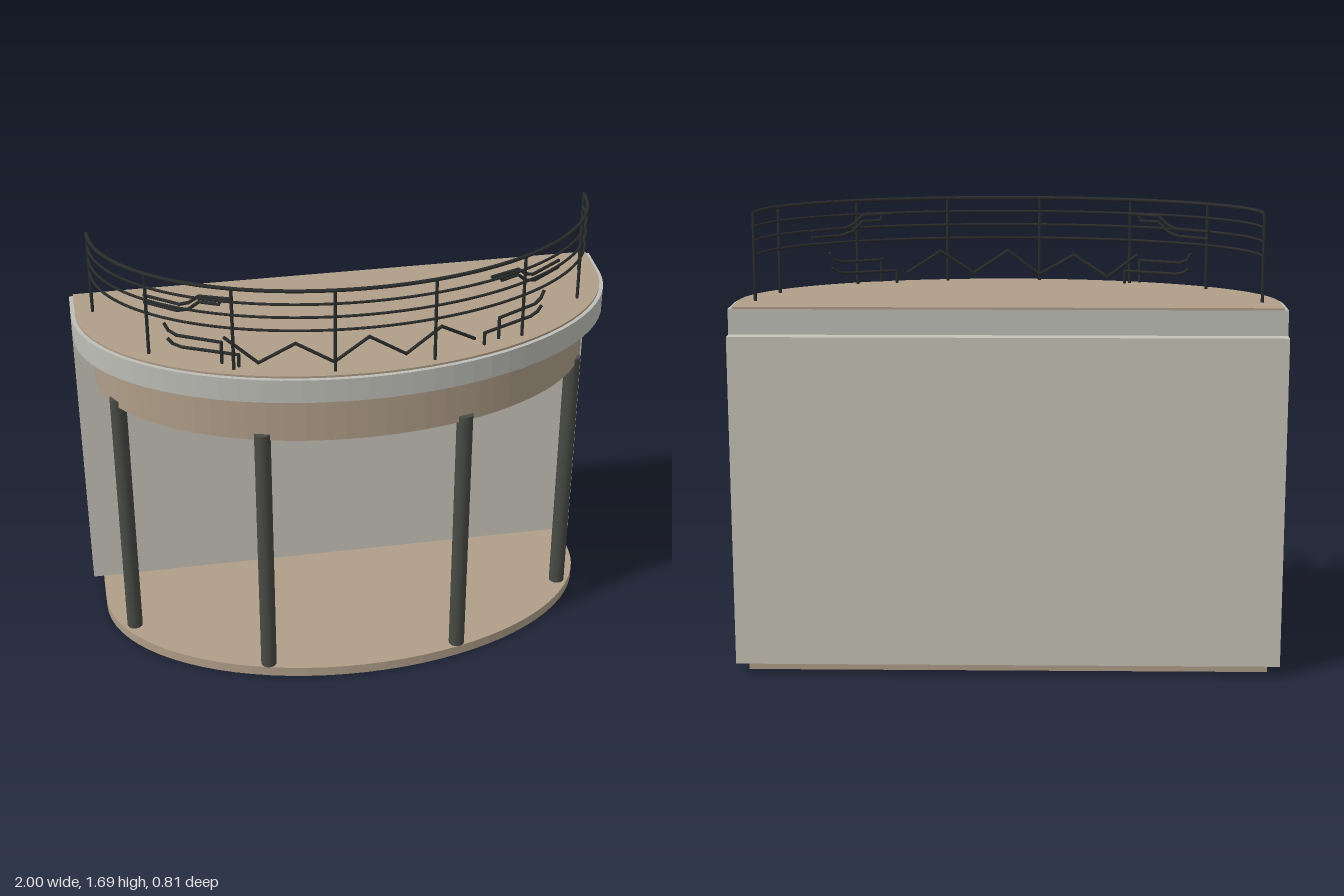
import * as THREE from 'three';

const mat = (name, color) => {
  const m = new THREE.MeshStandardMaterial({ color });
  m.name = name;
  return m;
};

export function createModel() {
  const model = new THREE.Group();
  model.name = 'balconyPorch';
  const stone = mat('beige stone', 0xb09e89);
  const trim = mat('pale grey trim', 0xbebeb8);
  const plaster = mat('plaster grey', 0xc6c3b8);
  const iron = mat('dark column grey', 0x484a45);
  const black = mat('railing black', 0x2a2c2c);

  const BACK = -0.35, MID = -0.2; // back edge and where the half ellipse begins
  const add = (parent, name, geo, material) => {
    const mesh = new THREE.Mesh(geo, material);
    mesh.name = name;
    parent.add(mesh);
    return mesh;
  };

  // D-shaped slab: straight back and sides, half-elliptical front
  function slab(name, rx, front, y0, y1, material) {
    const s = new THREE.Shape();
    s.moveTo(rx, -BACK);
    s.lineTo(-rx, -BACK);
    const n = 40;
    for (let i = 0; i <= n; i++) {
      const a = Math.PI + (Math.PI * i) / n;
      s.lineTo(rx * Math.cos(a), -MID + (front - MID) * Math.sin(a));
    }
    s.closePath();
    const g = new THREE.ExtrudeGeometry(s, { depth: y1 - y0, bevelEnabled: false });
    g.rotateX(-Math.PI / 2);
    g.translate(0, y0, 0);
    add(model, name, g, material);
  }
  slab('baseStep', 0.96, 0.385, 0, 0.04, stone);
  slab('curvedBeam', 0.93, 0.365, 1.075, 1.26, stone);
  slab('balconySlab', 1, 0.405, 1.26, 1.352, trim);
  slab('balconyFloor', 0.985, 0.39, 1.352, 1.36, stone);

  // Back wall
  add(model, 'backWall', new THREE.BoxGeometry(2, 1.22, 0.055), plaster)
    .position.set(0, 0.65, -0.3775);

  // Columns, mirrored left and right
  for (const side of [-1, 1]) {
    for (const [x, z] of [[0.86, -0.015], [0.37, 0.31]]) {
      add(model, 'column', new THREE.CylinderGeometry(0.03, 0.03, 1.06, 20), iron)
        .position.set(side * x, 0.57, z);
    }
  }

  // Railing follows a half ellipse
  const railing = new THREE.Group();
  railing.name = 'railing';
  model.add(railing);
  const RZ = -0.21;
  const railPoint = (a, y) =>
    new THREE.Vector3(-0.92 * Math.cos(a), y, RZ + 0.57 * Math.sin(a));

  for (const [y, r] of [[1.68, 0.007], [1.628, 0.005], [1.577, 0.005], [1.525, 0.005]]) {
    const pts = [];
    for (let i = 0; i <= 32; i++) pts.push(railPoint((Math.PI * i) / 32, y));
    add(railing, 'handrail',
      new THREE.TubeGeometry(new THREE.CatmullRomCurve3(pts), 80, r, 8), black);
  }

  // Round bar between two points
  const UP = new THREE.Vector3(0, 1, 0);
  function rod(name, a, b, r) {
    const d = b.clone().sub(a);
    const m = add(railing, name, new THREE.CylinderGeometry(r, r, d.length() + r, 8), black);
    m.position.copy(a).add(b).multiplyScalar(0.5);
    m.quaternion.setFromUnitVectors(UP, d.normalize());
  }

  // Posts, evenly stepped from the right end
  for (const x of [-0.92, -0.743, -0.46, -0.112, 0.246, 0.588, 0.857, 0.92]) {
    const a = Math.acos(-x / 0.92);
    rod('railPost', railPoint(a, 1.355), railPoint(a, 1.68), 0.006);
  }

  // Ornament bars bent along the inside of the railing
  const inner = (x, y) =>
    new THREE.Vector3(x, y, RZ + 0.55 * Math.sqrt(1 - (x / 0.9) ** 2));
  function ornament(name, pts, side = 1) {
    for (let i = 1; i < pts.length; i++) {
      rod(name, inner(side * pts[i - 1][0], pts[i - 1][1]),
        inner(side * pts[i][0], pts[i][1]), 0.006);
    }
  }
  ornament('zigzagBar', [[-0.487, 1.472], [-0.374, 1.381], [-0.246, 1.463], [-0.112, 1.385],
    [0.011, 1.477], [0.144, 1.39], [0.273, 1.477], [0.4, 1.397]]);
  for (const side of [-1, 1]) {
    ornament('lowerScroll', [[0.684, 1.488], [0.672, 1.465], [0.645, 1.452], [0.497, 1.452],
      [0.497, 1.37]], side);
    ornament('lowerScroll', [[0.675, 1.43], [0.66, 1.415], [0.63, 1.408], [0.44, 1.408],
      [0.44, 1.36]], side);
    ornament('upperScroll', [[0.745, 1.553], [0.64, 1.553], [0.6, 1.568], [0.565, 1.603],
      [0.5, 1.603], [0.49, 1.625]], side);
    ornament('upperScroll', [[0.745, 1.58], [0.63, 1.58], [0.6, 1.593], [0.565, 1.625],
      [0.46, 1.628]], side);
  }
  return model;
}
